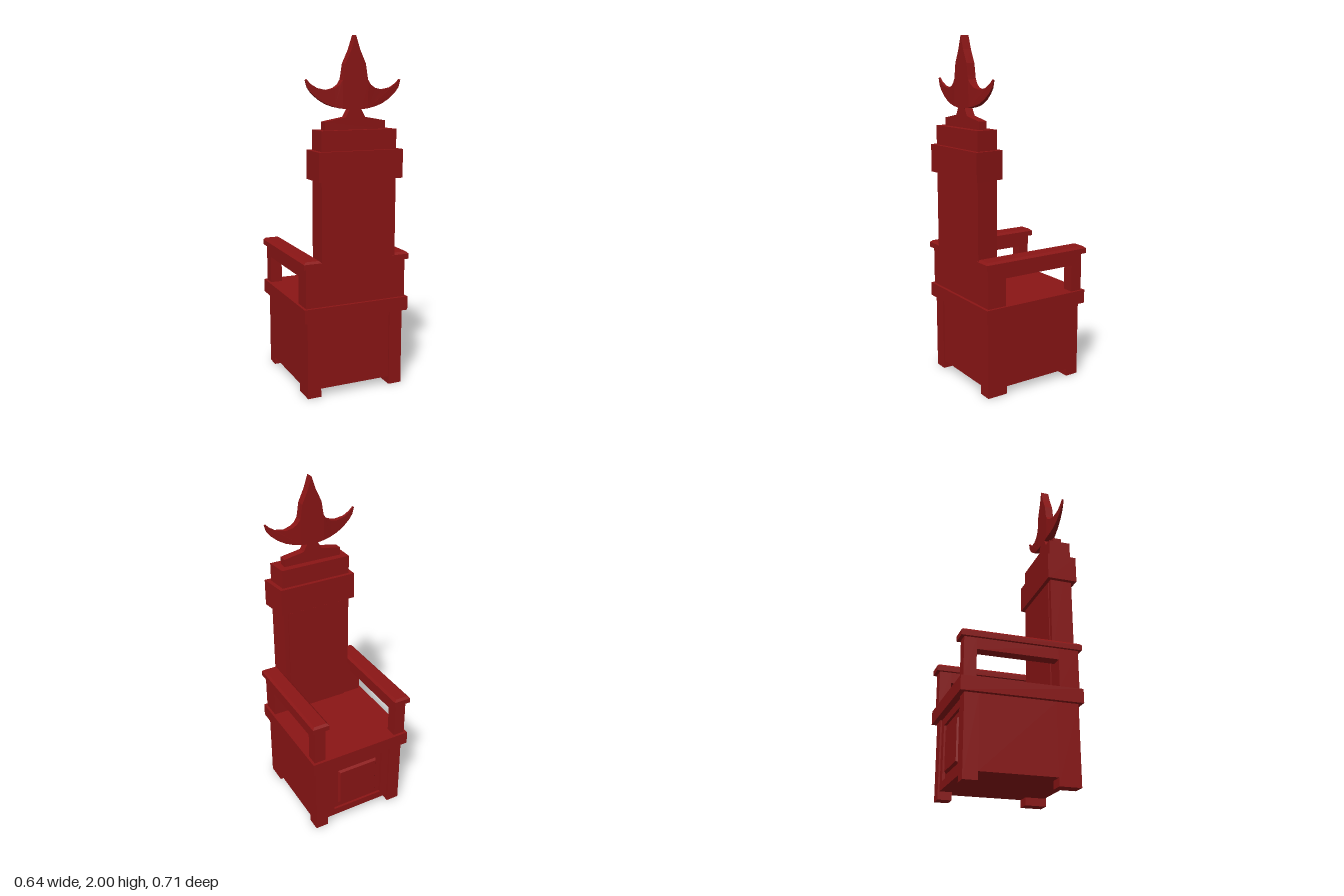
import * as THREE from 'three';

const red = new THREE.MeshStandardMaterial({ color: 0x8b1515, flatShading: true });

// Move every vertex of a geometry by a rule
function reshape(geometry, rule) {
  const pos = geometry.attributes.position;
  const v = new THREE.Vector3();
  for (let i = 0; i < pos.count; i++) {
    v.fromBufferAttribute(pos, i);
    rule(v);
    pos.setXYZ(i, v.x, v.y, v.z);
  }
  geometry.computeVertexNormals();
  return geometry;
}

// Box given by its limits
function boxGeo(x0, x1, y0, y1, z0, z1, ySegments = 1) {
  return new THREE.BoxGeometry(x1 - x0, y1 - y0, z1 - z0, 1, ySegments, 1)
    .translate((x0 + x1) / 2, (y0 + y1) / 2, (z0 + z1) / 2);
}

function shapeFrom(points) {
  return new THREE.Shape(points.map(([x, y]) => new THREE.Vector2(x, y)));
}

export function createModel() {
  const throne = new THREE.Group();
  throne.name = 'throne';

  const add = (name, geometry) => {
    const mesh = new THREE.Mesh(geometry, red);
    mesh.name = name;
    throne.add(mesh);
    return mesh;
  };
  const box = (name, ...limits) => add(name, boxGeo(...limits));

  // Box whose +x side flares outward towards the rear
  const flaredBox = (name, x0, x1, y0, y1, z0, z1, flare) =>
    add(name, reshape(boxGeo(x0, x1, y0, y1, z0, z1), (v) => {
      if (v.x > 0 && v.z > (z0 + z1) / 2) v.x += flare;
    }));

  // Base: core between the legs and flush side panels
  box('baseCore', -0.215, 0.215, 0.045, 0.45, -0.3, 0.302);
  box('baseSides', -0.295, 0.295, 0.045, 0.45, -0.245, 0.185);

  // Panelled face: frame with a raised, bevelled field
  const frame = shapeFrom([[-0.215, 0.045], [0.215, 0.045], [0.215, 0.45], [-0.215, 0.45]]);
  frame.holes.push(new THREE.Path([[-0.165, 0.09], [-0.165, 0.405], [0.165, 0.405], [0.165, 0.09]]
    .map(([x, y]) => new THREE.Vector2(x, y))));
  add('panelFrame', new THREE.ExtrudeGeometry(frame, { depth: 0.015, bevelEnabled: false })
    .translate(0, 0, -0.315));
  add('raisedPanel', reshape(boxGeo(-0.135, 0.135, 0.12, 0.375, -0.315, -0.295), (v) => {
    if (v.z < -0.31) {
      v.x *= 0.9;
      v.y = 0.2475 + (v.y - 0.2475) * 0.9;
    }
  }));

  // Seat slab and back board between the arms
  box('seat', -0.32, 0.32, 0.45, 0.53, -0.352, 0.332);
  box('lowerBack', -0.305, 0.305, 0.53, 0.755, 0.2, 0.315);

  for (const s of [-1, 1]) {
    const sideBox = (name, x0, x1, ...rest) =>
      box(name, Math.min(s * x0, s * x1), Math.max(s * x0, s * x1), ...rest);

    // Legs
    sideBox('rearLeg', 0.215, 0.295, 0, 0.45, 0.185, 0.31);
    sideBox('frontLeg', 0.215, 0.295, 0, 0.45, -0.325, -0.245);

    // Arm post, rail and chamfered cap
    sideBox('armPost', 0.235, 0.305, 0.53, 0.755, -0.335, -0.265);
    sideBox('armRail', 0.235, 0.305, 0.69, 0.755, -0.265, 0.2);
    const cap = reshape(boxGeo(-0.052, 0.052, 0.755, 0.797, -0.355, 0.333, 2), (v) => {
      if (v.y > 0.79) {
        v.x -= Math.sign(v.x) * 0.013;
        v.z -= Math.sign(v.z) * 0.013;
      } else if (v.y > 0.77) v.y = 0.785;
    });
    add('armCap', cap).position.x = s * 0.27;
  }

  // Tall backrest, its facing panel, crown band and top
  flaredBox('backrest', -0.217, 0.217, 0.755, 1.5, 0.2, 0.331, 0.013);
  box('backrestPanel', -0.19, 0.19, 0.53, 1.22, 0.194, 0.21);
  flaredBox('crownBand', -0.242, 0.238, 1.23, 1.39, 0.178, 0.355, 0.022);

  // Finial: plinth, neck and spire from one mirrored outline
  const half = [[0.181, 1.5], [0.181, 1.545], [0.058, 1.567], [0.035, 1.608],
    [0.075, 1.613], [0.075, 1.76], [0.07, 1.785], [0.06, 1.85], [0.025, 1.925]];
  const outline = [...half, [0, 2], ...half.map(([x, y]) => [-x, y]).reverse()];
  add('finialSpire', new THREE.ExtrudeGeometry(shapeFrom(outline), { depth: 0.05, bevelEnabled: false })
    .translate(0, 0, 0.241));

  // Curved horns that thin towards their tips
  const horn = [[0.075, 1.613], [0.12, 1.622], [0.165, 1.637], [0.21, 1.662], [0.25, 1.695],
    [0.274, 1.725], [0.286, 1.765], [0.278, 1.769], [0.255, 1.745], [0.22, 1.723],
    [0.165, 1.712], [0.12, 1.722], [0.092, 1.74], [0.075, 1.765]];
  for (const s of [-1, 1]) {
    const points = horn.map(([x, y]) => [s * x, y]);
    const geometry = new THREE.ExtrudeGeometry(shapeFrom(points), { depth: 0.05, bevelEnabled: false })
      .translate(0, 0, -0.025);
    add('finialHorn', reshape(geometry, (v) => {
      const t = (Math.abs(v.x) - 0.075) / 0.211;
      v.z = v.z * (1 - 0.85 * Math.pow(t, 0.85)) + 0.266 - s * 0.004 * t;
    }));
  }

  return throne;
}
